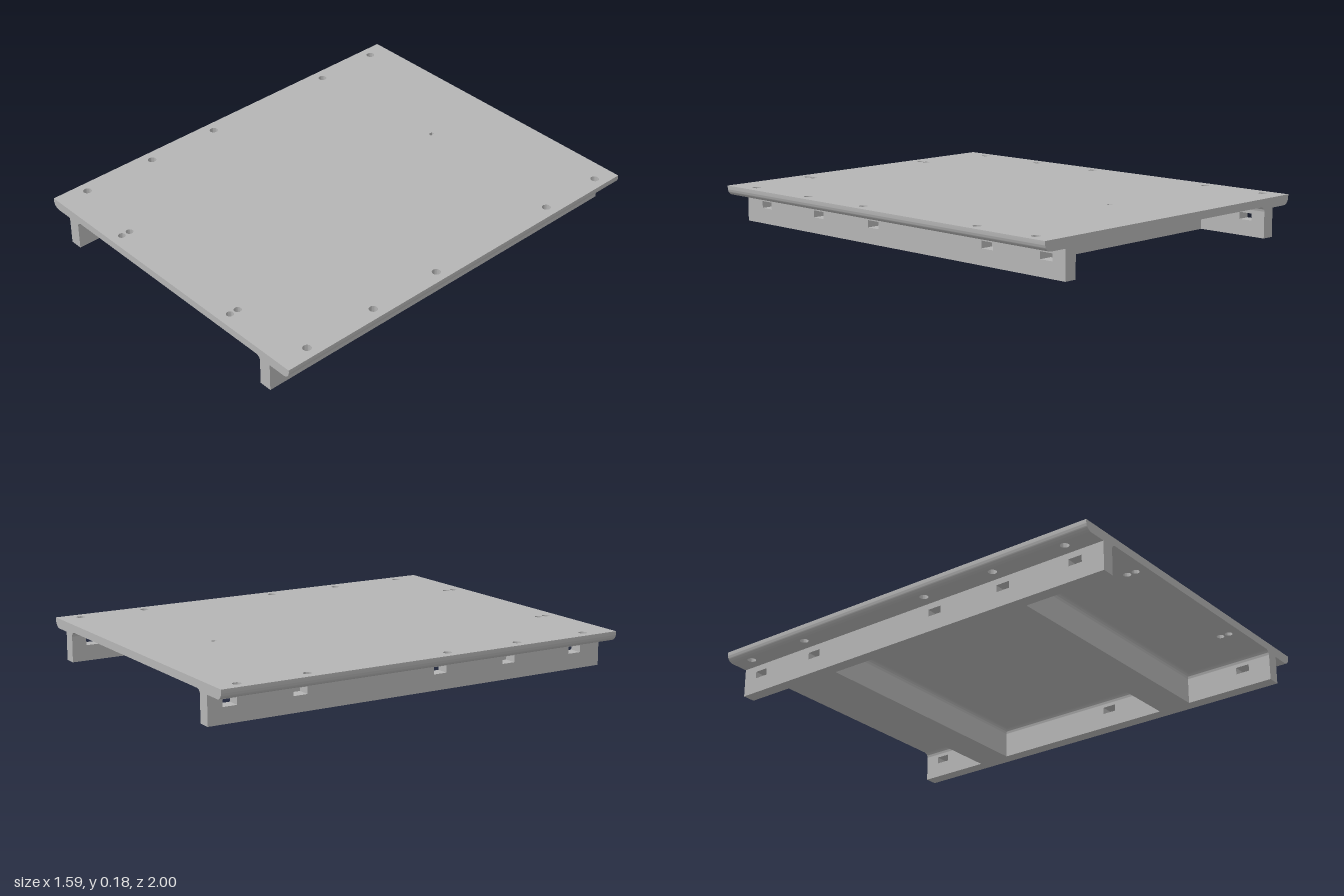
import * as THREE from 'three';
import { toCreasedNormals } from 'three/addons/utils/BufferGeometryUtils.js';

const TOP = 0.178;        // deck surface
const CEIL = 0.142;       // underside of the deck between the rails
const LIP = 0.132;        // underside of the side flanges
const IN = 0.62, OUT = 0.68, EDGE = 0.797;
const ROUND = 0.034;      // rounded lower edge of the flanges
const COVE = 0.024;       // fillet under the deck
const BARS = [[-0.65, -0.49], [0.41, 0.57]];

export function createModel() {
  const model = new THREE.Group();
  model.name = 'mountingPlate';
  const grey = new THREE.MeshStandardMaterial({ color: 0xb5b5b5 });
  grey.name = 'plain grey';

  const add = (name, geometry) => {
    const mesh = new THREE.Mesh(geometry, grey);
    mesh.name = name;
    model.add(mesh);
  };
  const rectPoints = (x0, y0, x1, y1) => [[x0, y0], [x1, y0], [x1, y1], [x0, y1]]
    .map(([x, y]) => new THREE.Vector2(x, y));
  const rectShape = (...r) => new THREE.Shape(rectPoints(...r));
  const rectHole = (cx, cy, w, h) =>
    new THREE.Path(rectPoints(cx - w / 2, cy - h / 2, cx + w / 2, cy + h / 2));
  const roundHole = (cx, cy, r) => new THREE.Path().absarc(cx, cy, r, 0, Math.PI * 2, true);
  const extrude = (shape, depth) => toCreasedNormals(
    new THREE.ExtrudeGeometry(shape, { depth, bevelEnabled: false, curveSegments: 12 }), 0.6);

  // shape in (x, z), thickness downwards from y
  const flat = (shape, y, depth) => extrude(shape, depth).rotateX(Math.PI / 2).translate(0, y, 0);
  // shape in (z, y), thickness from x towards -x
  const sideways = (shape, x, depth) => extrude(shape, depth).rotateY(-Math.PI / 2).translate(x, 0, 0);
  // shape in (x, y), length from z0 to z1
  const lengthways = (shape, z0, z1) => extrude(shape, z1 - z0).translate(0, 0, z0);

  // concave fillet profile in the corner at (u, CEIL), opening towards side s
  const cove = (u, s) => {
    const shape = new THREE.Shape();
    shape.moveTo(u, CEIL);
    shape.lineTo(u + s * COVE, CEIL);
    shape.absarc(u + s * COVE, CEIL - COVE, COVE, Math.PI / 2, s > 0 ? Math.PI : 0, s < 0);
    shape.closePath();
    return shape;
  };

  // deck between the rails, with paired holes and one small blind slot
  const deck = rectShape(-IN, -1, IN, 1);
  for (const x of [-0.367, 0.367])
    for (const z of [0.902, 0.944]) deck.holes.push(roundHole(x, z, 0.017));
  deck.holes.push(rectHole(-0.023, -0.616, 0.016, 0.022));
  add('deck', flat(deck, TOP, TOP - CEIL));

  for (const s of [1, -1]) {
    const side = s > 0 ? 'left' : 'right';

    // rail with slots through its wall
    const rail = rectShape(-1, 0, 1, TOP);
    for (const z of [-0.898, -0.57, 0.126, 0.492, 0.86])
      rail.holes.push(rectHole(z, 0.088, 0.066, 0.032));
    add(side + 'Rail', sideways(rail, s > 0 ? OUT : -IN, OUT - IN));

    // flange with bolt holes
    const bend = EDGE - ROUND;
    const flange = rectShape(Math.min(s * OUT, s * bend), -1, Math.max(s * OUT, s * bend), 1);
    for (const z of [-0.9, -0.574, 0.119, 0.487, 0.854])
      flange.holes.push(roundHole(s * 0.742, z, 0.0195));
    add(side + 'Flange', flat(flange, TOP, TOP - LIP));

    // rounded outer edge
    const lip = new THREE.Shape();
    lip.moveTo(s * bend, TOP);
    lip.lineTo(s * EDGE, TOP);
    lip.lineTo(s * EDGE, LIP + ROUND);
    lip.absarc(s * bend, LIP + ROUND, ROUND, s > 0 ? 0 : Math.PI, s > 0 ? -Math.PI / 2 : Math.PI * 1.5, s > 0);
    lip.closePath();
    add(side + 'RoundedEdge', lengthways(lip, -1, 1));

    // fillets along the rail in each bay
    for (const [z0, z1] of [[-1, BARS[0][0]], [BARS[0][1], BARS[1][0]], [BARS[1][1], 1]])
      add(side + 'RailFillet', lengthways(cove(s * IN, -s), z0, z1));
  }

  // cross bars with a fillet on both faces
  for (const [z0, z1] of BARS) {
    add('crossBar', sideways(rectShape(z0, 0, z1, CEIL), IN, IN * 2));
    add('crossBarFillet', sideways(cove(z0, -1), IN, IN * 2));
    add('crossBarFillet', sideways(cove(z1, 1), IN, IN * 2));
  }
  return model;
}
